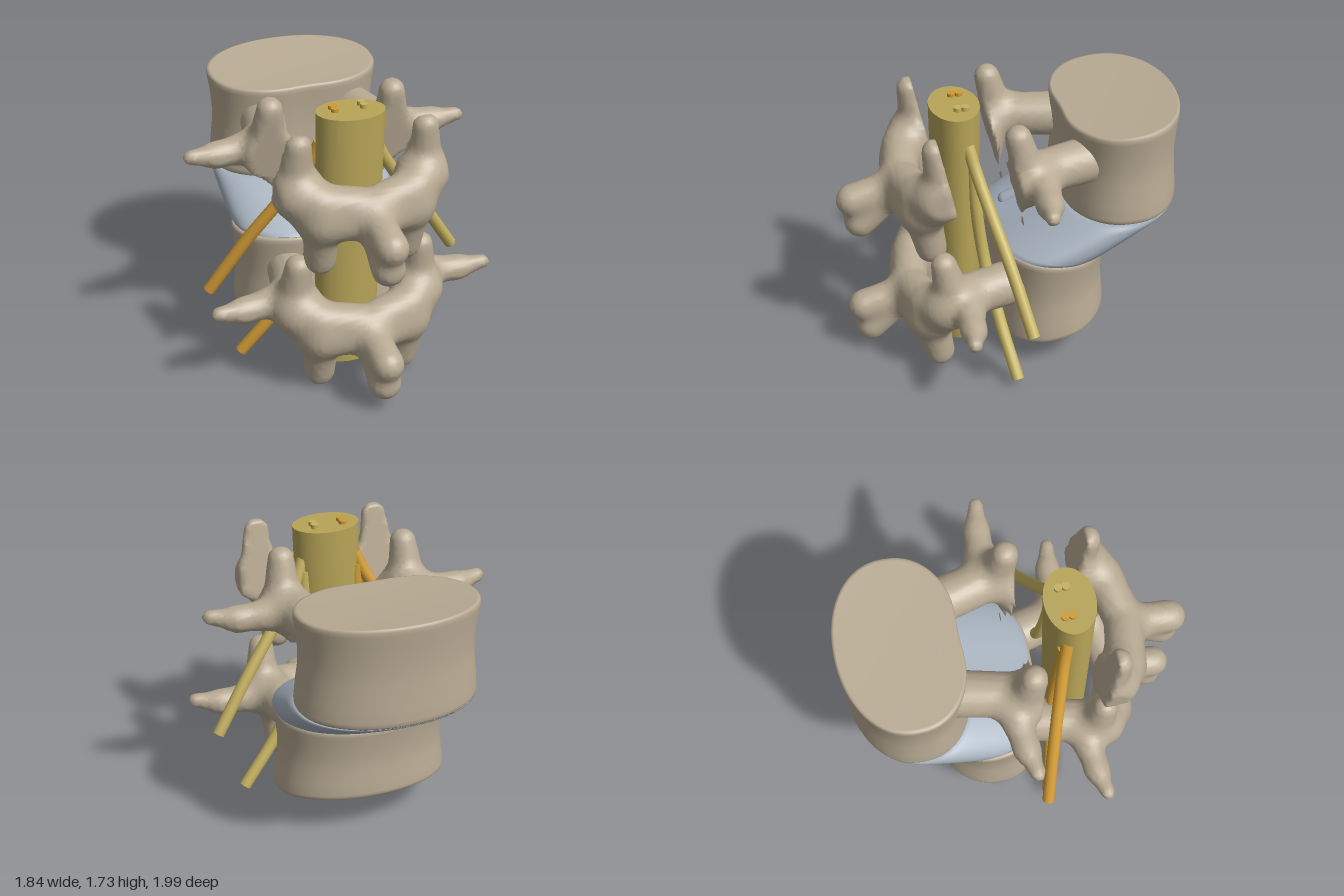
import * as THREE from 'three';

const mat = (name, color) => {
  const m = new THREE.MeshStandardMaterial({ color });
  m.name = name;
  return m;
};
const V = (x, y, z) => new THREE.Vector3(x, y, z);
const lerp = THREE.MathUtils.lerp;

// Rounded limbs of one vertebra (left half, mirrored): start, radius, end, radius
const LIMBS = [
  [V(0.29, 0.57, 0.02), 0.14, V(0.38, 0.57, 0.4), 0.13],    // pedicle
  [V(0.45, 0.56, 0.34), 0.115, V(0.7, 0.55, 0.36), 0.068],  // side wing
  [V(0.7, 0.55, 0.36), 0.068, V(0.86, 0.575, 0.39), 0.046],
  [V(0.4, 0.58, 0.42), 0.12, V(0.39, 0.84, 0.47), 0.08],    // superior facet
  [V(0.37, 0.52, 0.47), 0.15, V(0.33, 0.4, 0.5), 0.11],     // isthmus
  [V(0.4, 0.53, 0.46), 0.13, V(0.28, 0.42, 0.55), 0.12],
  [V(0.28, 0.4, 0.55), 0.115, V(0.27, 0.105, 0.49), 0.095], // inferior facet
  [V(0.28, 0.5, 0.56), 0.115, V(0, 0.455, 0.62), 0.115],    // lamina
  [V(0.28, 0.38, 0.57), 0.11, V(0, 0.38, 0.64), 0.11],
  [V(0, 0.41, 0.65), 0.095, V(0, 0.34, 0.915), 0.1],        // rear spine
  [V(0, 0.36, 0.66), 0.09, V(0, 0.185, 0.875), 0.1],
];

// Distance to the blended limbs
const p = V(0, 0, 0), ab = V(0, 0, 0), ap = V(0, 0, 0);
function limbField(x, y, z) {
  p.set(Math.abs(x), y, z);
  let d = 1;
  for (const [a, ra, b, rb] of LIMBS) {
    ab.subVectors(b, a);
    ap.subVectors(p, a);
    const t = THREE.MathUtils.clamp(ap.dot(ab) / ab.lengthSq(), 0, 1);
    const e = ap.addScaledVector(ab, -t).length() - lerp(ra, rb, t);
    const h = Math.max(0.06 - Math.abs(d - e), 0) / 0.06;
    d = Math.min(d, e) - h * h * 0.015;
  }
  return d;
}

// Turns a distance field into a smooth mesh on a regular grid
function skin(field, lo, hi, h) {
  const n = ['x', 'y', 'z'].map((k) => Math.ceil((hi[k] - lo[k]) / h) + 1);
  const step = [1, n[0], n[0] * n[1]];
  const val = new Float32Array(n[0] * n[1] * n[2]);
  const each = (fn) => {
    for (let k = 0; k < n[2]; k++) for (let j = 0; j < n[1]; j++) for (let i = 0; i < n[0]; i++)
      fn([i, j, k], i + j * step[1] + k * step[2]);
  };
  each(([i, j, k], id) => { val[id] = field(lo.x + i * h, lo.y + j * h, lo.z + k * h); });
  const vert = new Map(), pos = [], index = [];
  // one point per crossed cell
  each((c, id) => {
    if (c.some((v, a) => v >= n[a] - 1)) return;
    const sum = [0, 0, 0];
    let count = 0;
    for (let q = 0; q < 8; q++) for (let a = 0; a < 3; a++) {
      if (q & (1 << a)) continue;
      const o = [q & 1, (q >> 1) & 1, (q >> 2) & 1];
      const s = id + o[0] + o[1] * step[1] + o[2] * step[2];
      const v0 = val[s], v1 = val[s + step[a]];
      if ((v0 < 0) === (v1 < 0)) continue;
      o[a] += v0 / (v0 - v1);
      o.forEach((v, m) => { sum[m] += v; });
      count++;
    }
    if (!count) return;
    vert.set(id, pos.length / 3);
    pos.push(...['x', 'y', 'z'].map((k, a) => lo[k] + (c[a] + sum[a] / count) * h));
  });
  // one quad per crossed edge
  each((c, id) => {
    for (let a = 0; a < 3; a++) {
      if (c[a] >= n[a] - 1 || (val[id] < 0) === (val[id + step[a]] < 0)) continue;
      const b = step[(a + 1) % 3], d = step[(a + 2) % 3];
      const q = [id - b - d, id - d, id, id - b].map((v) => vert.get(v));
      if (q.includes(undefined)) continue;
      if (val[id] >= 0) q.reverse();
      index.push(q[0], q[1], q[2], q[0], q[2], q[3]);
    }
  });
  const g = new THREE.BufferGeometry();
  g.setAttribute('position', new THREE.Float32BufferAttribute(pos, 3));
  g.setIndex(index);
  g.computeVertexNormals();
  return g;
}

// Kidney-shaped loft; each row is [scale, height fraction], place() sets height and depth
function kidneyLoft(rows, place, seg = 64) {
  const pos = [], index = [];
  rows.forEach(([s, t], r) => {
    for (let i = 0; i < seg; i++) {
      const a = (i / seg) * Math.PI * 2, c = Math.cos(a), si = Math.sin(a);
      const x = 0.545 * Math.sign(c) * Math.abs(c) ** 0.95;
      let z = 0.38 * Math.sign(si) * Math.abs(si) ** (si > 0 ? 0.85 : 0.95);
      if (si > 0) z -= 0.035 * si * Math.exp(-((x / 0.2) ** 2));
      const [y, dz] = place(t, z * s);
      pos.push(x * s, y, z * s + dz);
      if (r === rows.length - 1) continue;
      const j = (i + 1) % seg, A = r * seg, B = A + seg;
      index.push(A + i, B + i, A + j, A + j, B + i, B + j);
    }
  });
  const g = new THREE.BufferGeometry();
  g.setAttribute('position', new THREE.Float32BufferAttribute(pos, 3));
  g.setIndex(index);
  g.computeVertexNormals();
  return g;
}

const BODY_ROWS = [[0.001, 0.02], [0.6, 0.02], [0.95, 0], [0.975, 0], [0.995, 0.02], [1, 0.06], [0.985, 0.2], [0.955, 0.42],
  [0.95, 0.58], [0.97, 0.8], [0.995, 0.93], [0.995, 0.975], [0.98, 0.997], [0.95, 1], [0.6, 0.985], [0.001, 0.985]];
const DISC_ROWS = [[0.001, 0], [0.95, 0], [0.985, 0.02], [1.005, 0.1], [1.015, 0.3], [1.02, 0.6], [1.02, 0.82],
  [1.01, 0.95], [0.98, 1], [0.001, 1]];

export function createModel() {
  const bone = mat('bone', 0xb9ab94);
  const discBlue = mat('discBlue', 0xa9b4c0);
  const cordYellow = mat('cordYellow', 0xb8a558);
  const nerveYellow = mat('nerveYellow', 0xc4b160);
  const nerveOrange = mat('nerveOrange', 0xd09a35);

  const model = new THREE.Group();
  model.name = 'slippedVertebrae';
  model.position.set(-0.076, 0, 0.037);
  model.rotation.y = THREE.MathUtils.degToRad(26);
  const add = (name, geo, material, x = 0, y = 0, z = 0) => {
    const m = new THREE.Mesh(geo, material);
    m.name = name;
    m.position.set(x, y, z);
    model.add(m);
    return m;
  };

  // Vertebral bodies and the sheared disc between them
  const upZ = -0.692, lowZ = -0.25;
  const lowTop = (z) => 0.785 + 0.07 * z, upBottom = (z) => 1.035 - 0.02 * z;
  add('upperBody', kidneyLoft(BODY_ROWS, (t, z) => [lerp(upBottom(z), 1.64 - 0.08 * z, t), upZ]), bone, -0.012);
  add('lowerBody', kidneyLoft(BODY_ROWS, (t, z) => [lerp(0.23 - 0.17 * z, lowTop(z), t), lowZ]), bone, -0.02);
  add('disc', kidneyLoft(DISC_ROWS, (t, z) => [lerp(lowTop(z), upBottom(z), t), lerp(lowZ, upZ, t)]), discBlue, -0.01);

  // Small disc bulge lying on the rear slope
  const bulgePath = new THREE.LineCurve3(V(-0.145, 0.945, -0.19), V(-0.19, 0.865, -0.045));
  const bulge = add('discBulge', new THREE.CapsuleGeometry(0.05, 0.14, 8, 20), discBlue);
  bulge.position.copy(bulgePath.getPoint(0.5));
  bulge.quaternion.setFromUnitVectors(V(0, 1, 0), bulgePath.getTangent(0));

  // Rear bone: whole below, split by a slanted fracture above
  const lo = V(-1, -0.05, -0.24), hi = V(1, 1, 1.1), h = 0.025;
  const cut = (y, z, at) => (z - at - 0.2 * (y - 0.6)) * 0.98;
  add('lowerArch', skin(limbField, lo, hi, h), bone);
  add('upperPedicles', skin((x, y, z) => Math.max(limbField(x, y, z), cut(y, z, 0.5)), lo, hi, h), bone, 0, 0.82, -0.46);
  add('upperArch', skin((x, y, z) => Math.max(limbField(x, y, z), -cut(y, z, 0.4), Math.abs(x) - 0.525), lo, hi, h),
    bone, 0, 0.8, 0.03);

  // Spinal cord sac
  const cord = add('cord', new THREE.CylinderGeometry(0.21, 0.192, 1.64, 48).scale(1, 1, 0.72), cordYellow, -0.013, 0.9, 0.305);
  cord.rotation.z = -0.022;

  // Nerve roots and the root stubs on top of the cord
  const NERVES = {
    UpperNerve: [[0.17, 1.52, 0.26], [0.23, 1.38, 0.23], [0.36, 1.18, 0.18], [0.58, 0.88, 0.1], [0.815, 0.525, 0.02]],
    LowerNerve: [[0.17, 1.45, 0.24], [0.175, 1.1, 0.22], [0.22, 0.72, 0.18], [0.4, 0.38, 0.13], [0.64, 0.07, 0.07]],
  };
  for (const [side, sx, m] of [['left', 1, nerveYellow], ['right', -1, nerveOrange]]) {
    for (const [name, pts] of Object.entries(NERVES)) {
      const path = new THREE.CatmullRomCurve3(pts.map(([x, y, z]) => V(x * sx, y, z)));
      add(side + name, new THREE.TubeGeometry(path, 40, 0.038, 14), m);
      // end caps
      for (const t of [0, 1]) {
        const cap = add(side + name + 'End', new THREE.CircleGeometry(0.038, 14), m);
        cap.position.copy(path.getPoint(t));
        cap.quaternion.setFromUnitVectors(V(0, 0, 1), path.getTangent(t).multiplyScalar(t ? 1 : -1));
      }
    }
    for (const z of [0.255, 0.3])
      add(side + 'RootStub', new THREE.CylinderGeometry(0.024, 0.024, 0.06, 16), m, sx * 0.09, 1.713, z);
  }

  const group = new THREE.Group();
  group.name = 'spineSegment';
  group.add(model);
  return group;
}
